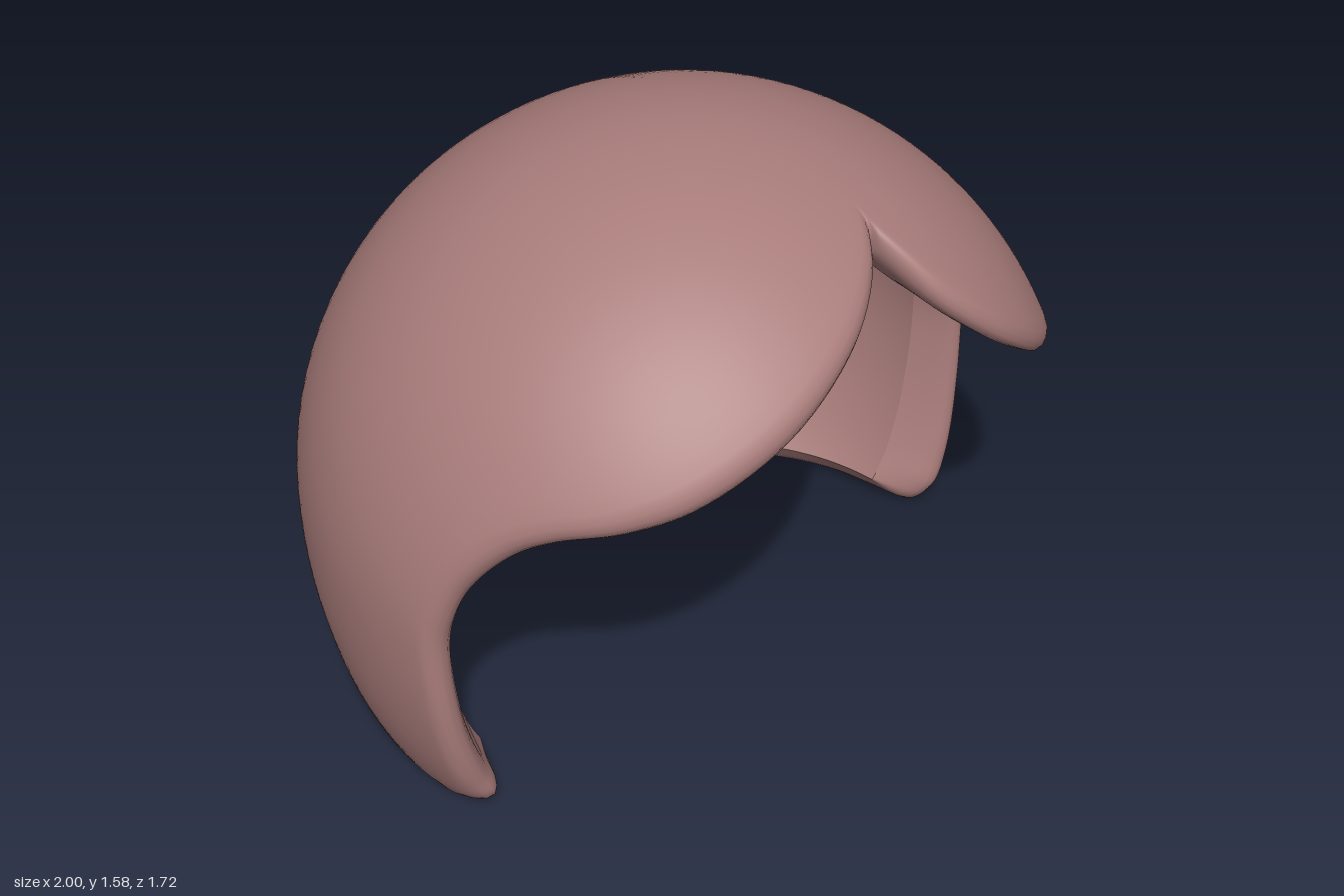
import * as THREE from 'three';

const { lerp, clamp, smoothstep } = THREE.MathUtils;
const C = new THREE.Vector3(0, 0.58, 0.14); // centre of the head
const CROWN = new THREE.Vector3(0, 0.64, -0.77).normalize();
const AROUND = 320, ROWS = 36, INNER = 0.865;

// Directions from the head centre, given by two coordinates of a point on the unit dome
const third = (a, b) => Math.sqrt(Math.max(0, 1 - a * a - b * b));
const fromXY = ([x, y]) => new THREE.Vector3(x, y - C.y, third(x, y - C.y));
const fromZY = (side) => ([z, y]) =>
  new THREE.Vector3(side * third(z - C.z, y - C.y), y - C.y, z - C.z);

// Closed rim of the hair: parting, left fringe, left side, neck, right side, right fringe
function rimCurve() {
  const neck = [];
  for (let i = 0; i <= 16; i++) {
    const a = -0.2 - (i / 16) * (Math.PI + 0.01);
    neck.push(new THREE.Vector3(0.795 * Math.cos(a), -0.605, 0.795 * Math.sin(a)));
  }
  const points = [
    ...[[0.2, 1.44], [0.212, 1.415], [0.3, 1.295], [0.45, 1.16], [0.6, 1.045], [0.72, 0.96]].map(fromXY),
    ...[[0.6, 0.89], [0.46, 0.81], [0.32, 0.75], [0.2, 0.725], [0.15, 0.7], [0.135, 0.64],
      [0.14, 0.4], [0.155, 0.15], [0.15, 0.05], [0.1, -0.01]].map(fromZY(1)),
    ...neck,
    ...[[0.38, -0.02], [0.425, 0.02], [0.43, 0.1], [0.43, 0.35], [0.425, 0.58], [0.44, 0.68],
      [0.48, 0.8]].map(fromZY(-1)),
    ...[[-0.84, 0.92], [-0.77, 0.975], [-0.65, 1.02], [-0.5, 1.08], [-0.25, 1.2], [0, 1.325],
      [0.14, 1.4], [0.185, 1.43]].map(fromXY),
  ];
  return new THREE.CatmullRomCurve3(points, true, 'centripetal');
}

// Great-circle spoke from the crown to a direction
function makeSpoke(dir) {
  const angle = CROWN.angleTo(dir);
  const tangent = dir.clone().addScaledVector(CROWN, -dir.dot(CROWN)).normalize();
  const at = (a) => CROWN.clone().multiplyScalar(Math.cos(a)).addScaledVector(tangent, Math.sin(a));
  return { angle, at };
}

// Inner edge of the lip: swept back beside the face, drawn to the crown under the fringe
function innerRim(dir, spoke) {
  const limit = dir.x > 0 ? -0.13 : 0.13;
  const soften = (v, edge) => edge + 0.08 * (v - edge);
  const side = dir.clone();
  if (side.z > limit) side.z = soften(side.z, limit);
  if (side.y < -0.57) side.y = soften(side.y, -0.57);
  side.x = Math.sign(dir.x) * third(side.y, side.z);
  const fringe = spoke.at(spoke.angle - 0.12);
  return side.lerp(fringe, smoothstep(dir.y, 0, 0.3)).normalize();
}

// Places a direction at a given radius; sides hang straighter than a sphere, the nape tucks in
function place(dir, radius) {
  const p = dir.clone().multiplyScalar(radius).add(C);
  const low = clamp((C.y - p.y) / 0.58, 0, 1);
  p.x *= 1 + (p.x > 0 ? 0.11 : 0.08) * low * low;
  p.x += 0.14 * (1 - radius) * (1 - low);
  p.z += 0.035 * smoothstep(low, 0.25, 0.65) * Math.max(0, -dir.z);
  p.y = Math.max(p.y, 0);
  return p;
}

// Skin made of rings that spread from the crown to the rim
function skin(rings, inward) {
  const pos = [], index = [];
  rings.forEach((ring, j) => (j ? ring : ring.slice(0, 1)).forEach((p) => pos.push(p.x, p.y, p.z)));
  const id = (j, i) => (j === 0 ? 0 : 1 + (j - 1) * AROUND + (i % AROUND));
  const tri = (a, b, c) => (inward ? index.push(a, c, b) : index.push(a, b, c));
  for (let j = 0; j < rings.length - 1; j++) {
    for (let i = 0; i < AROUND; i++) {
      tri(id(j, i), id(j + 1, i), id(j + 1, i + 1));
      if (j > 0) tri(id(j, i), id(j + 1, i + 1), id(j, i + 1));
    }
  }
  const g = new THREE.BufferGeometry();
  g.setAttribute('position', new THREE.Float32BufferAttribute(pos, 3));
  g.setIndex(index);
  g.computeVertexNormals();
  return g;
}

export function createModel() {
  const group = new THREE.Group();
  group.name = 'hair';
  const material = new THREE.MeshStandardMaterial({ color: 0xa87c7a, side: THREE.DoubleSide });

  const curve = rimCurve();
  const spokes = [];
  for (let i = 0; i < AROUND; i++) {
    const dir = curve.getPoint(i / AROUND).normalize();
    const spoke = makeSpoke(dir);
    const innerDir = innerRim(dir, spoke);
    const round = lerp(2, 1, smoothstep(dir.y, -0.6, -0.45)); // softer rounding at the neck
    spokes.push({ ...spoke, dir, innerDir, round, inner: makeSpoke(innerDir) });
  }
  const ring = (dirOf, radius) => spokes.map((s) => place(dirOf(s), radius));

  // Outer dome, its rounded edge and the lip that leads inside
  const outer = [];
  for (let j = 0; j <= ROWS; j++) {
    outer.push(ring((s) => s.at((s.angle - 0.07 * s.round) * (j / ROWS)), 1));
  }
  const edge = [[0.04, 0.997], [0.02, 0.987], [0.006, 0.974], [0, 0.957]];
  edge.forEach(([back, r]) => outer.push(ring((s) => s.at(s.angle - back * s.round), r)));
  const lip = [[0.06, 0.94], [0.2, 0.922], [0.45, 0.903], [0.75, 0.883], [1, INNER]];
  lip.forEach(([k, r]) =>
    outer.push(ring((s) => s.dir.clone().lerp(s.innerDir, k).normalize(), r)));

  // Inner dome, meeting the lip at a crisp edge
  const inner = [];
  for (let j = 0; j <= ROWS; j++) {
    inner.push(ring((s) => s.inner.at(s.inner.angle * (j / ROWS)), INNER));
  }

  [['outerHair', outer, false], ['innerHair', inner, true]].forEach(([name, rings, inward]) => {
    const mesh = new THREE.Mesh(skin(rings, inward), material);
    mesh.name = name;
    group.add(mesh);
  });
  return group;
}
